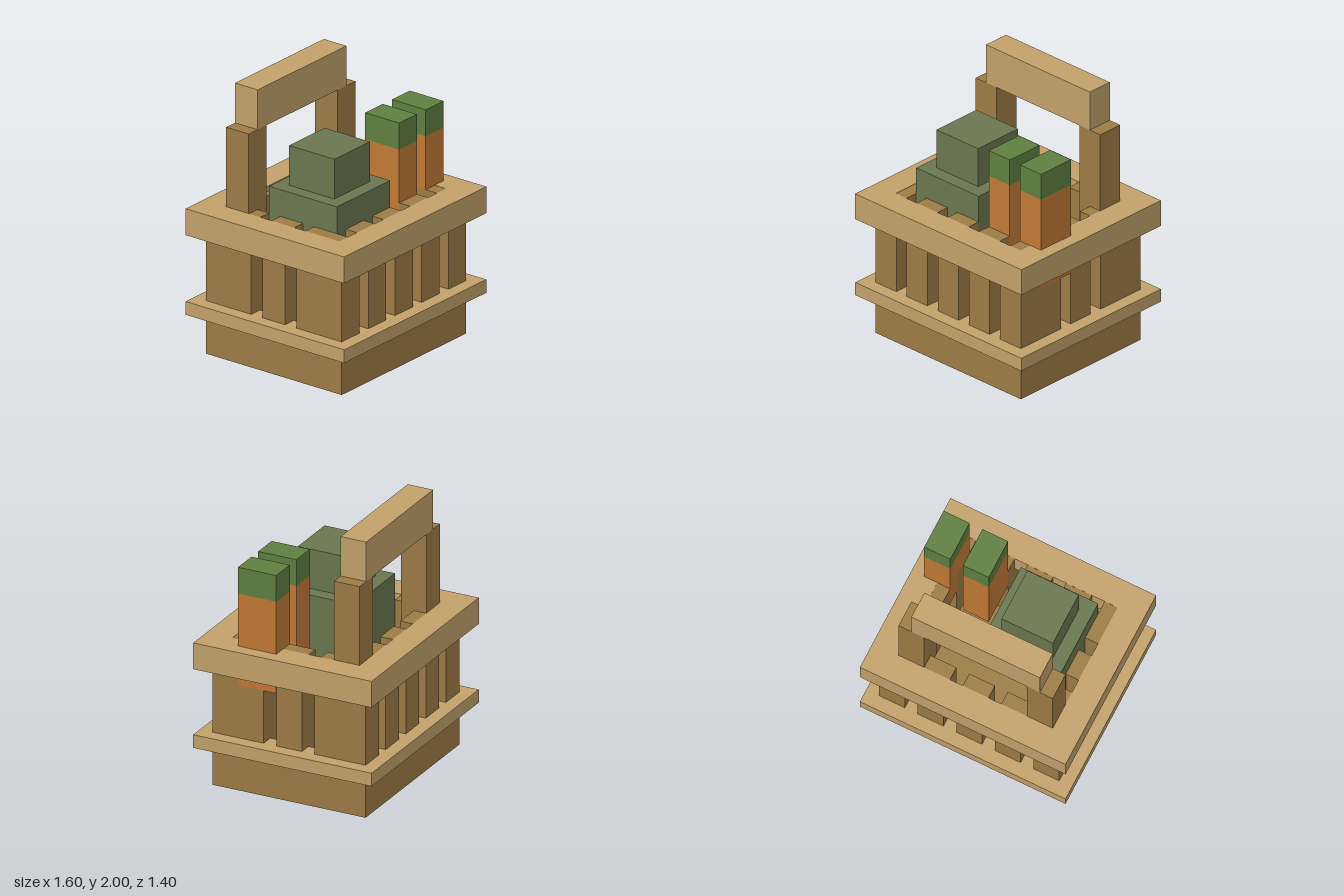
import * as THREE from 'three';

const mat = (name, color) => {
  const m = new THREE.MeshStandardMaterial({ color });
  m.name = name;
  return m;
};

export function createModel() {
  const tan = mat('light wood', 0xc2a16b);
  const brown = mat('dark wood', 0x9d7b45);
  const cabbageGreen = mat('cabbage green', 0x69774f);
  const leafGreen = mat('leaf green', 0x5f7f41);
  const orange = mat('carrot orange', 0xc17935);

  const model = new THREE.Group();
  model.name = 'vegetableBasket';

  // Box given by its minimum and maximum along each axis
  const box = (name, material, [x0, x1], [y0, y1], [z0, z1], parent = model) => {
    const mesh = new THREE.Mesh(new THREE.BoxGeometry(x1 - x0, y1 - y0, z1 - z0), material);
    mesh.position.set((x0 + x1) / 2, (y0 + y1) / 2, (z0 + z1) / 2);
    mesh.name = name;
    parent.add(mesh);
  };

  // Rectangular rim with an open middle
  const rim = (name, y0, y1) => {
    const rect = (path, x, z) =>
      path.moveTo(-x, -z).lineTo(x, -z).lineTo(x, z).lineTo(-x, z).closePath();
    const shape = new THREE.Shape();
    rect(shape, 0.8, 0.7);
    const hole = new THREE.Path();
    rect(hole, 0.6, 0.5);
    shape.holes.push(hole);
    const geo = new THREE.ExtrudeGeometry(shape, { depth: y1 - y0, bevelEnabled: false });
    geo.rotateX(-Math.PI / 2).translate(0, y0, 0);
    const mesh = new THREE.Mesh(geo, tan);
    mesh.name = name;
    model.add(mesh);
  };

  // Basket base and rims
  box('base', brown, [-0.7, 0.7], [0, 0.3], [-0.6, 0.6]);
  rim('lowerRim', 0.3, 0.4);
  rim('upperRim', 0.9, 1.1);

  // Slats: tops sit a hair under the rim surface
  const slats = new THREE.Group();
  slats.name = 'slats';
  model.add(slats);
  const slatY = [0.3, 1.098];
  for (const s of [-1, 1]) {
    const span = (a, b) => (s > 0 ? [a, b] : [-b, -a]);
    for (const x of [-0.3, 0, 0.3])
      box(s > 0 ? 'frontSlat' : 'backSlat', brown, [x - 0.1, x + 0.1], slatY, span(0.4, 0.6), slats);
    box('sideSlat', brown, span(0.5, 0.7), slatY, [-0.1, 0.1], slats);
    for (const z of [[0.2, 0.6], [-0.6, -0.2]])
      box('cornerSlat', brown, span(0.5, 0.7), slatY, z, slats);
    // Handle post
    box('handlePost', brown, span(0.4, 0.6), [0.9, 1.7], [-0.5, -0.3]);
  }
  box('handleBar', tan, [-0.5, 0.5], [1.7, 2], [-0.5, -0.3]);

  // Stepped cabbage
  box('cabbageBody', cabbageGreen, [-0.5, 0.1], [0.8, 1.3], [-0.2, 0.4]);
  box('cabbageTop', cabbageGreen, [-0.4, 0], [1.3, 1.6], [-0.1, 0.3]);

  // Two carrots; the outer one shows just past the side slat
  for (const [x0, x1] of [[0.2, 0.4], [0.5, 0.702]]) {
    box('carrotRoot', orange, [x0, x1], [0.8, 1.5], [0.1, 0.4]);
    box('carrotLeaves', leafGreen, [x0, x1], [1.5, 1.7], [0.1, 0.4]);
  }

  return model;
}
